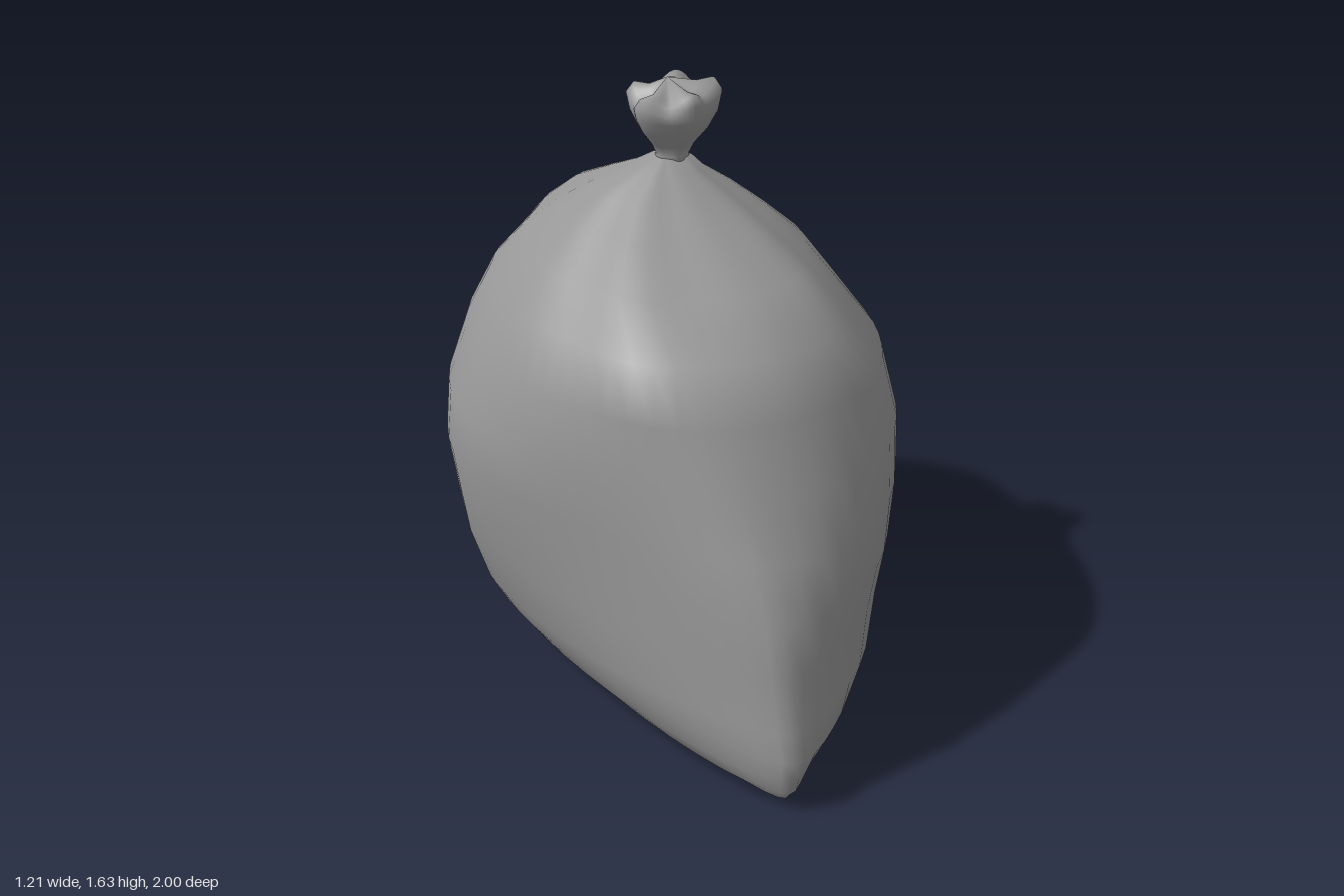
import * as THREE from 'three';

const SEGMENTS = 56;

// Smooth skin over closed rings (bottom to top), each end closed by a centre point
function loft(rings, bottom, top) {
  const n = SEGMENTS, points = rings.flat(), index = [];
  const low = points.push(bottom) - 1, high = points.push(top) - 1;
  const last = (rings.length - 1) * n;
  for (let j = 0; j < n; j++) {
    const k = (j + 1) % n;
    for (let i = 0; i < rings.length - 1; i++) {
      const a = i * n + j, b = i * n + k;
      index.push(a, b + n, b, a, a + n, b + n);
    }
    index.push(j, k, low, last + j, high, last + k);
  }
  const geometry = new THREE.BufferGeometry();
  geometry.setAttribute('position', new THREE.Float32BufferAttribute(points.flat(), 3));
  geometry.setIndex(index);
  geometry.computeVertexNormals();
  return geometry;
}

// One ring: calls the rule with each angle, 0 = +x and PI/2 = +z
function ring(rule) {
  return Array.from({ length: SEGMENTS }, (_, j) => rule(j / SEGMENTS * Math.PI * 2));
}

const bump = (v, centre, width) => Math.exp(-(((v - centre) / width) ** 2));

// Sack sections: y, -x reach, +x reach, +z reach, -z reach,
// then roundness of the -x and +x halves (1 = lozenge, 2 = ellipse)
const sections = [
  [0.01, 0.17, 0.09, 0.90, 0.87, 1.15, 1.2],
  [0.03, 0.29, 0.17, 0.96, 0.97, 1.15, 1.25],
  [0.06, 0.38, 0.27, 0.985, 0.985, 1.2, 1.32],
  [0.10, 0.43, 0.36, 0.99, 0.985, 1.22, 1.4],
  [0.16, 0.475, 0.45, 1.0, 0.99, 1.25, 1.5],
  [0.23, 0.515, 0.51, 0.975, 1.0, 1.3, 1.55],
  [0.38, 0.565, 0.565, 0.945, 0.95, 1.38, 1.68],
  [0.50, 0.585, 0.585, 0.92, 0.91, 1.48, 1.82],
  [0.64, 0.605, 0.60, 0.86, 0.855, 1.65, 1.98],
  [0.78, 0.59, 0.605, 0.785, 0.78, 1.85, 2.1],
  [0.95, 0.525, 0.56, 0.715, 0.675, 2.1, 2.2],
  [1.09, 0.45, 0.445, 0.65, 0.58, 2.3, 2.25],
  [1.19, 0.355, 0.365, 0.47, 0.515, 2.3, 2.25],
  [1.27, 0.265, 0.27, 0.29, 0.40, 2.2, 2.2],
  [1.34, 0.18, 0.18, 0.165, 0.23, 2.1, 2.1],
  [1.39, 0.085, 0.105, 0.08, 0.11, 2, 2],
  [1.42, 0.025, 0.075, 0.035, 0.06, 2, 2],
];

function sackRing([y, left, right, front, back, pLeft, pRight]) {
  const gather = 0.045 * THREE.MathUtils.smoothstep(y, 0.9, 1.3);
  const round = Math.min(0.13, 0.6 * Math.min(left, right, front, back));
  return ring((t) => {
    const c = Math.cos(t), s = Math.sin(t);
    const power = 2 / ((c < 0 ? pLeft : pRight) + (s < 0 ? 0.1 : 0));
    // a superellipse with its corners rounded off by a small circle
    const a = (c < 0 ? left : right) - round, b = (s < 0 ? back : front) - round;
    const x = Math.sign(c) * Math.abs(c) ** power * a + c * round;
    const z = Math.sign(s) * Math.abs(s) ** power * b + s * round;
    // gathers below the neck
    let f = 1 + gather * (Math.cos(6 * t) * 0.6 + Math.sin(9 * t + 1) * 0.5);
    // slack hollow on the -x front, full shoulder at the +x back
    f -= 0.09 * bump(t, 2.35, 0.45) * bump(y, 0.62, 0.32);
    f += 0.08 * bump(t, 5.45, 0.35) * bump(y, 1.13, 0.14);
    // low corner bulge with a fold above it on the +x front
    f += 0.06 * bump(t, 0.7, 0.35) * bump(y, 0.18, 0.13);
    f -= 0.03 * bump(t, 1.1, 0.2) * bump(y, 0.36, 0.15);
    // the end corners drift to +x
    return [x * f + (z < 0 ? 0.07 : 0.03) * Math.abs(z) ** 3, y, z * f];
  });
}

// Tied end: y, radius, ruffle depth, height of the torn points
const ruffles = [
  [1.40, 0.058, 0, 0],
  [1.425, 0.043, 0.03, 0],
  [1.455, 0.058, 0.04, 0],
  [1.495, 0.09, 0.06, 0],
  [1.535, 0.11, 0.08, 0.005],
  [1.575, 0.118, 0.09, 0.02],
  [1.598, 0.1, 0.1, 0.026],
  [1.60, 0.06, 0.1, 0.018],
];

function knotRing([y, r, depth, torn]) {
  return ring((t) => {
    const f = r * (1 + depth * (Math.sin(5 * t + 0.9) + 0.6 * Math.cos(3 * t)));
    const lift = torn * (0.5 * Math.sin(5 * t + 1.2) + 0.6 * Math.cos(t + 0.5));
    return [0.025 + f * Math.cos(t), y + lift, -0.01 + f * Math.sin(t)];
  });
}

export function createModel() {
  const model = new THREE.Group();
  model.name = 'tiedSack';
  const material = new THREE.MeshStandardMaterial({ side: THREE.DoubleSide });
  material.color.set(0x979797);

  const sack = new THREE.Mesh(
    loft(sections.map(sackRing), [-0.03, 0, 0], [0.03, 1.43, -0.01]), material);
  sack.name = 'sackBody';

  const knot = new THREE.Mesh(
    loft(ruffles.map(knotRing), [0.03, 1.39, -0.01], [0.015, 1.63, -0.02]), material);
  knot.name = 'tiedTop';

  model.add(sack, knot);
  return model;
}
